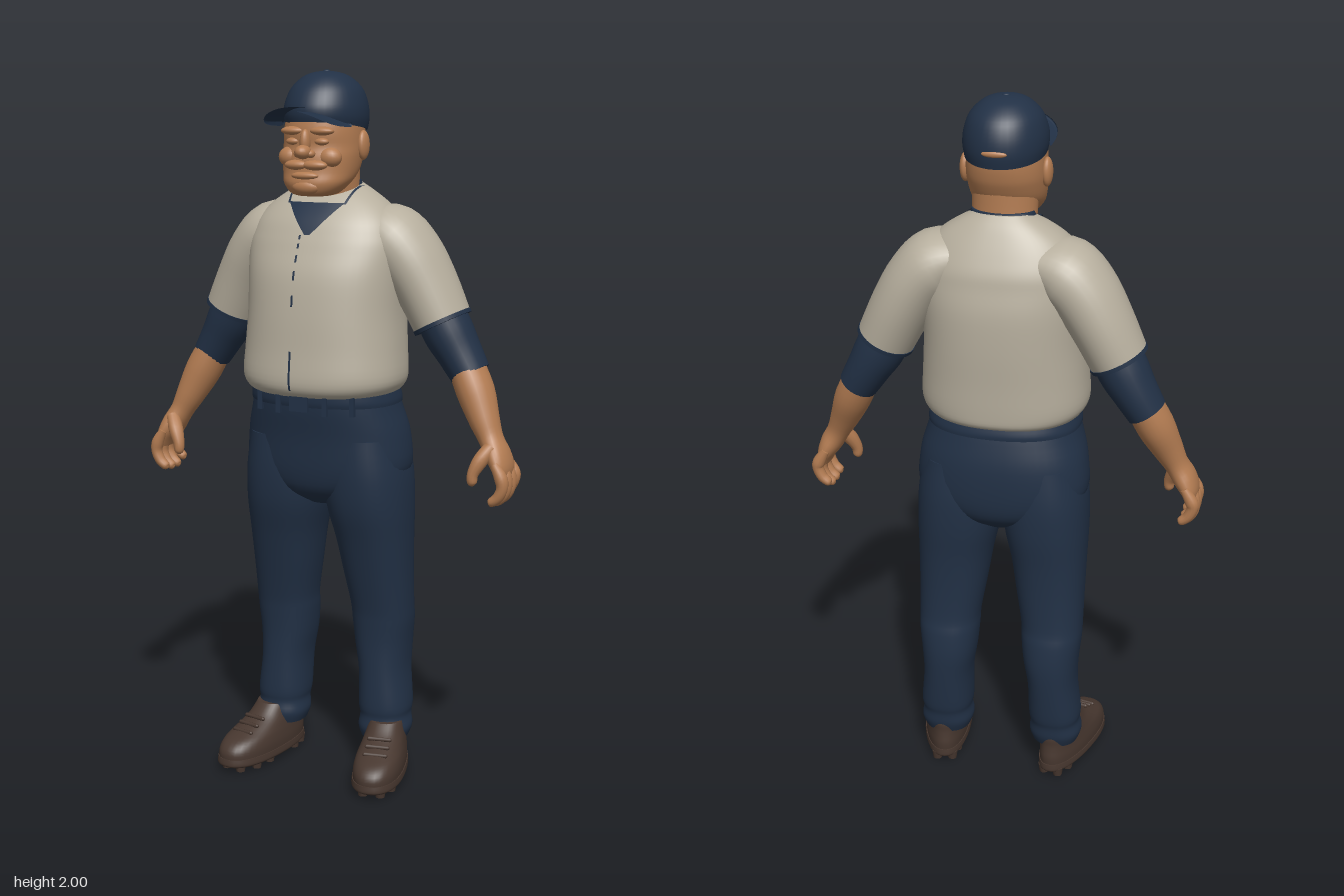
import * as THREE from 'three';

const mat = (name, color) => Object.assign(new THREE.MeshStandardMaterial({ color }), { name });
const navy = mat('navy', 0x223146);
const cloth = mat('grey cloth', 0xb7af9e);
const skin = mat('skin', 0xb37c52);
const brown = mat('brown leather', 0x47372f);
const patchNavy = mat('navy trim', 0x223146);
patchNavy.side = THREE.DoubleSide;

// Catmull-Rom sample of a list of number rows at fractional index t
function sample(rows, t) {
  const n = rows.length - 1, i = Math.min(Math.floor(t), n - 1), f = t - i;
  const at = k => rows[Math.max(0, Math.min(n, k))];
  const [a, b, c, d] = [at(i - 1), at(i), at(i + 1), at(i + 2)];
  return b.map((_, k) => b[k] + 0.5 * f * (c[k] - a[k] + f * (2 * a[k] - 5 * b[k] + 4 * c[k] - d[k]
    + f * (3 * (b[k] - c[k]) + d[k] - a[k]))));
}

// Skin over a list of rings, with flat caps at both ends
function skinRings(rings) {
  const pos = [], idx = [], m = rings[0].length, n = rings.length;
  const push = v => pos.push(v.x, v.y, v.z) / 3 - 1;
  rings.forEach(r => r.forEach(push));
  for (let i = 0; i < n - 1; i++) for (let j = 0; j < m; j++) {
    const k = (j + 1) % m, a = i * m + j, c = i * m + k;
    idx.push(a, a + m, c, c, a + m, c + m);
  }
  [rings[0], rings[n - 1]].forEach((r, end) => {
    const mid = r.reduce((s, v) => s.add(v), new THREE.Vector3()).divideScalar(m);
    const c = push(mid), first = r.map(push)[0];
    for (let j = 0; j < m; j++) {
      const p = first + j, q = first + (j + 1) % m;
      end ? idx.push(c, q, p) : idx.push(c, p, q);
    }
  });
  const g = new THREE.BufferGeometry();
  g.setAttribute('position', new THREE.Float32BufferAttribute(pos, 3));
  g.setIndex(idx);
  g.computeVertexNormals();
  return g;
}

const pow = (v, e) => Math.sign(v) * Math.abs(v) ** e;

// Horizontal sections: [y, centre x, half width, front z, back z, tilt]
function body(rows, p = 2.3, m = 40, sub = 4) {
  const rings = [];
  for (let s = 0; s <= (rows.length - 1) * sub; s++) {
    const [y, xc, rx, zf, zb, tilt = 0] = sample(rows, s / sub);
    rings.push(Array.from({ length: m }, (_, j) => {
      const a = j / m * Math.PI * 2, dz = (zf - zb) / 2 * pow(Math.sin(a), 2 / p);
      return new THREE.Vector3(xc + rx * pow(Math.cos(a), 2 / p), y + tilt * dz, (zf + zb) / 2 + dz);
    }));
  }
  return skinRings(rings);
}

// Sections square to a path: [x, y, z, radius across, radius along z]
function limb(rows, m = 24, sub = 4) {
  const N = (rows.length - 1) * sub, rings = [];
  const pts = Array.from({ length: N + 1 }, (_, s) => sample(rows, s / sub));
  const at = s => new THREE.Vector3(...pts[Math.max(0, Math.min(N, s))].slice(0, 3));
  for (let s = 0; s <= N; s++) {
    const d = at(s + 1).sub(at(s - 1)).normalize();
    const w = new THREE.Vector3(0, 0, 1).addScaledVector(d, -d.z).normalize();
    const u = d.clone().cross(w);
    rings.push(Array.from({ length: m }, (_, j) => {
      const a = j / m * Math.PI * 2;
      return at(s).addScaledVector(u, pts[s][3] * Math.cos(a)).addScaledVector(w, pts[s][4] * Math.sin(a));
    }));
  }
  return skinRings(rings);
}

const blob = (x, y, z, rx, ry, rz) =>
  new THREE.SphereGeometry(1, 20, 14).scale(rx, ry, rz).translate(x, y, z);

function mirror(geo) {
  const g = geo.clone().scale(-1, 1, 1), ix = g.index.array;
  for (let i = 0; i < ix.length; i += 3) [ix[i], ix[i + 1]] = [ix[i + 1], ix[i]];
  g.computeVertexNormals();
  return g;
}

const shirtRows = [
  [1.12, 0, .19, .14, -.18], [1.135, 0, .215, .165, -.2], [1.17, 0, .232, .175, -.205],
  [1.25, 0, .228, .168, -.208], [1.35, 0, .222, .16, -.213], [1.45, 0, .225, .145, -.212],
  [1.52, 0, .228, .12, -.2], [1.56, 0, .222, .103, -.192], [1.6, 0, .205, .082, -.175],
  [1.64, 0, .17, .05, -.155], [1.675, 0, .12, .015, -.135], [1.7, 0, .075, -.03, -.115]];

// Thin plate lying on the shirt front between two section indices
function shirtPatch(t0, t1, x0, x1, offset = .003) {
  const g = new THREE.PlaneGeometry(1, 1, 12, 12), P = g.attributes.position;
  for (let i = 0; i < P.count; i++) {
    const v = P.getY(i) + .5, u = P.getX(i) + .5;
    const [y, , rx, zf, zb] = sample(shirtRows, t0 + (t1 - t0) * v);
    const x = x0(v) + (x1(v) - x0(v)) * u;
    const z = (zf + zb) / 2 + (zf - zb) / 2 * (1 - Math.abs(x / rx) ** 2.3) ** (1 / 2.3);
    P.setXYZ(i, x, y + offset, z + offset);
  }
  g.computeVertexNormals();
  return g;
}

export function createModel() {
  const root = new THREE.Group();
  const add = (name, geo, m) => {
    const mesh = new THREE.Mesh(geo, m);
    mesh.name = name;
    root.add(mesh);
  };
  const pair = (name, geo, m) => { add(name + 'Left', geo, m); add(name + 'Right', mirror(geo), m); };

  // Shirt, neckline, front placket marks
  add('shirt', body(shirtRows, 2.3, 56), cloth);
  add('undershirtNeck', shirtPatch(7, 9.1, v => -.008 - .075 * v, v => .008 + .075 * v), patchNavy);
  for (const s of [-1, 1])
    add('neckPiping', shirtPatch(9, 10.4, v => s * (.08 + .012 * v), v => s * (.087 + .012 * v)), patchNavy);
  for (const [a, b] of [[1.3, 3], [4.2, 4.5], [4.9, 5.2], [5.5, 5.8], [6.1, 6.4], [6.7, 7]])
    add('placketMark', shirtPatch(a, b, () => -.024, () => -.018, .002), patchNavy);
  add('collarBack', body([[1.685, 0, .09, .0, -.112], [1.704, 0, .084, .0, -.108]]), navy);

  // Sleeves, forearms and hands
  pair('shirtSleeve', limb([[.1, 1.58, -.07, .06, .09], [.17, 1.553, -.07, .092, .115],
    [.225, 1.5, -.075, .092, .116], [.275, 1.42, -.08, .086, .108], [.325, 1.32, -.08, .08, .095]], 32), cloth);
  pair('sleevePiping', limb([[.321, 1.328, -.08, .0825, .098], [.326, 1.318, -.08, .082, .097]], 32), navy);
  pair('undershirtSleeve', limb([[.295, 1.38, -.085, .065, .075], [.335, 1.3, -.09, .07, .076],
    [.37, 1.24, -.092, .062, .071], [.405, 1.182, -.09, .055, .064]]), navy);
  pair('forearm', limb([[.385, 1.22, -.09, .048, .058], [.425, 1.14, -.075, .052, .06],
    [.46, 1.065, -.055, .042, .048], [.485, 1.015, -.045, .033, .042], [.508, .975, -.038, .032, .055],
    [.525, .94, -.035, .025, .06], [.53, .91, -.035, .014, .05]]), skin);
  for (let i = 0; i < 4; i++) {
    const z = -.087 + i * .034, drop = i === 0 ? .015 : i === 3 ? .006 : 0;
    pair('finger', limb([[.515, .96, z, .012, .012], [.535, .925, z, .018, .018],
      [.54, .89 + drop, z, .016, .017], [.528, .862 + drop, z, .015, .016],
      [.508, .846 + drop, z, .012, .013], [.502, .843 + drop, z, .003, .003]], 12), skin);
  }
  pair('thumb', limb([[.497, 1.0, -.01, .02, .02], [.475, .965, .012, .021, .022],
    [.459, .93, .024, .016, .017], [.458, .905, .026, .013, .014], [.46, .896, .026, .003, .003]], 12), skin);

  // Trousers, belt and buckle
  add('hips', body([[.8, 0, .05, .03, -.13], [.84, 0, .17, .085, -.18], [.9, 0, .237, .107, -.2],
    [1, 0, .236, .12, -.203], [1.08, 0, .215, .135, -.19], [1.14, 0, .2, .14, -.175]], 2.3, 48), navy);
  pair('trouserLeg', body([[.1, .165, .066, -.005, -.142], [.13, .165, .076, .003, -.153],
    [.165, .164, .071, -.002, -.157], [.2, .163, .075, .002, -.166], [.3, .157, .071, 0, -.178],
    [.38, .152, .079, 0, -.184], [.45, .152, .086, .005, -.18], [.5, .151, .088, .012, -.172],
    [.6, .143, .097, .035, -.171], [.7, .136, .106, .06, -.176], [.8, .126, .118, .088, -.187],
    [.9, .121, .118, .1, -.19], [1, .12, .1, .1, -.18]]), navy);
  add('belt', body([[1.095, 0, .214, .142, -.191], [1.11, 0, .214, .146, -.191], [1.14, 0, .207, .148, -.183]], 2.3, 48), navy);
  add('buckle', new THREE.BoxGeometry(.055, .042, .012).translate(-.005, 1.105, .147), navy);
  for (const x of [.07, .14])
    pair('beltLoop', new THREE.BoxGeometry(.014, .06, .012).translate(x, 1.105, x < .1 ? .14 : .113), navy);

  // Shoes with lugs and laces, toes turned out
  const place = g => g.rotateY(.2).translate(.19, 0, 0);
  const taper = g => {
    const P = g.attributes.position;
    for (let i = 0; i < P.count; i++) P.setX(i, P.getX(i) * (1 + .8 * P.getZ(i)));
    g.computeVertexNormals();
    return place(g);
  };
  pair('shoeUpper', taper(body([[.03, 0, .066, .187, -.158], [.06, 0, .067, .186, -.16],
    [.085, 0, .064, .162, -.157], [.105, 0, .06, .11, -.155], [.13, 0, .056, .05, -.155],
    [.16, 0, .052, .01, -.145]])), brown);
  pair('shoeSole', taper(body([[.017, 0, .064, .185, -.158], [.024, 0, .07, .192, -.163],
    [.042, 0, .069, .19, -.162]])), brown);
  for (const [x, z] of [[.045, .1], [-.045, .1], [.025, .15], [-.025, .15], [.045, .04], [-.045, .04],
    [.035, -.09], [-.035, -.09], [.022, -.135], [-.022, -.135]])
    pair('shoeLug', place(new THREE.CylinderGeometry(.017, .013, .026, 10).translate(x, .013, z)), brown);
  for (let i = 0; i < 3; i++)
    pair('lace', place(new THREE.CapsuleGeometry(.006, .06, 3, 8).rotateZ(Math.PI / 2)
      .translate(0, .104 + i * .013, .108 - i * .028)), brown);

  // Head and face
  add('neck', limb([[0, 1.56, -.055, .09, .07], [0, 1.66, -.04, .087, .068], [0, 1.76, -.025, .09, .08]], 32), skin);
  add('head', body([[1.666, 0, .04, .095, .02], [1.674, 0, .065, .116, -.01], [1.7, 0, .089, .126, -.05],
    [1.73, 0, .1, .12, -.09], [1.77, 0, .106, .117, -.113], [1.8, 0, .107, .11, -.123],
    [1.84, 0, .105, .112, -.128], [1.9, 0, .098, .1, -.125]], 2.2), skin);
  add('nose', blob(0, 1.785, .128, .022, .019, .028), skin);
  add('noseBridge', blob(0, 1.81, .114, .014, .035, .018), skin);
  add('lowerLip', blob(0, 1.722, .116, .04, .011, .015), skin);
  add('chin', blob(0, 1.692, .108, .042, .022, .022), skin);
  pair('upperLip', blob(.026, 1.75, .11, .037, .014, .02).rotateZ(0), skin);
  pair('cheek', blob(.058, 1.77, .084, .034, .028, .028), skin);
  pair('nostril', blob(.018, 1.78, .118, .012, .011, .016), skin);
  pair('eyelid', blob(.042, 1.812, .1, .021, .01, .014), skin);
  pair('brow', blob(.042, 1.84, .1, .036, .012, .02), skin);
  pair('ear', blob(.11, 1.8, -.02, .015, .04, .026), skin);

  // Cap crown, button, rear opening
  add('capCrown', body([[1.848, 0, .107, .112, -.15, .12], [1.875, 0, .112, .116, -.155, .06],
    [1.91, 0, .109, .112, -.15, 0], [1.95, 0, .094, .09, -.132, 0], [1.98, 0, .064, .055, -.095, 0],
    [1.993, 0, .033, .02, -.058, 0], [1.997, 0, .002, -.018, -.022, 0]], 2.05), navy);
  add('capButton', blob(0, 1.995, -.02, .011, .005, .011), navy);
  add('capOpening', blob(0, 1.872, -.15, .034, .009, .008), skin);

  // Curved brim, built from cross-sections running left to right
  const brim = [];
  for (let i = 0; i <= 28; i++) {
    const u = -Math.cos(i / 28 * Math.PI), ring = [];
    const tip = .085 + .134 * (1 - Math.abs(u) ** 3) ** (1 / 3);
    for (let j = 0; j < 20; j++) {
      const a = j / 20 * Math.PI * 2, z = .04 + (tip - .04) * (.5 + .5 * pow(Math.cos(a), .6));
      ring.push(new THREE.Vector3(.104 * u, 1.897 + .03 * (z - .15) - .038 * u * u - .006 * pow(Math.sin(a), .5), z));
    }
    brim.push(ring);
  }
  add('capBrim', skinRings(brim), navy);
  return root;
}
